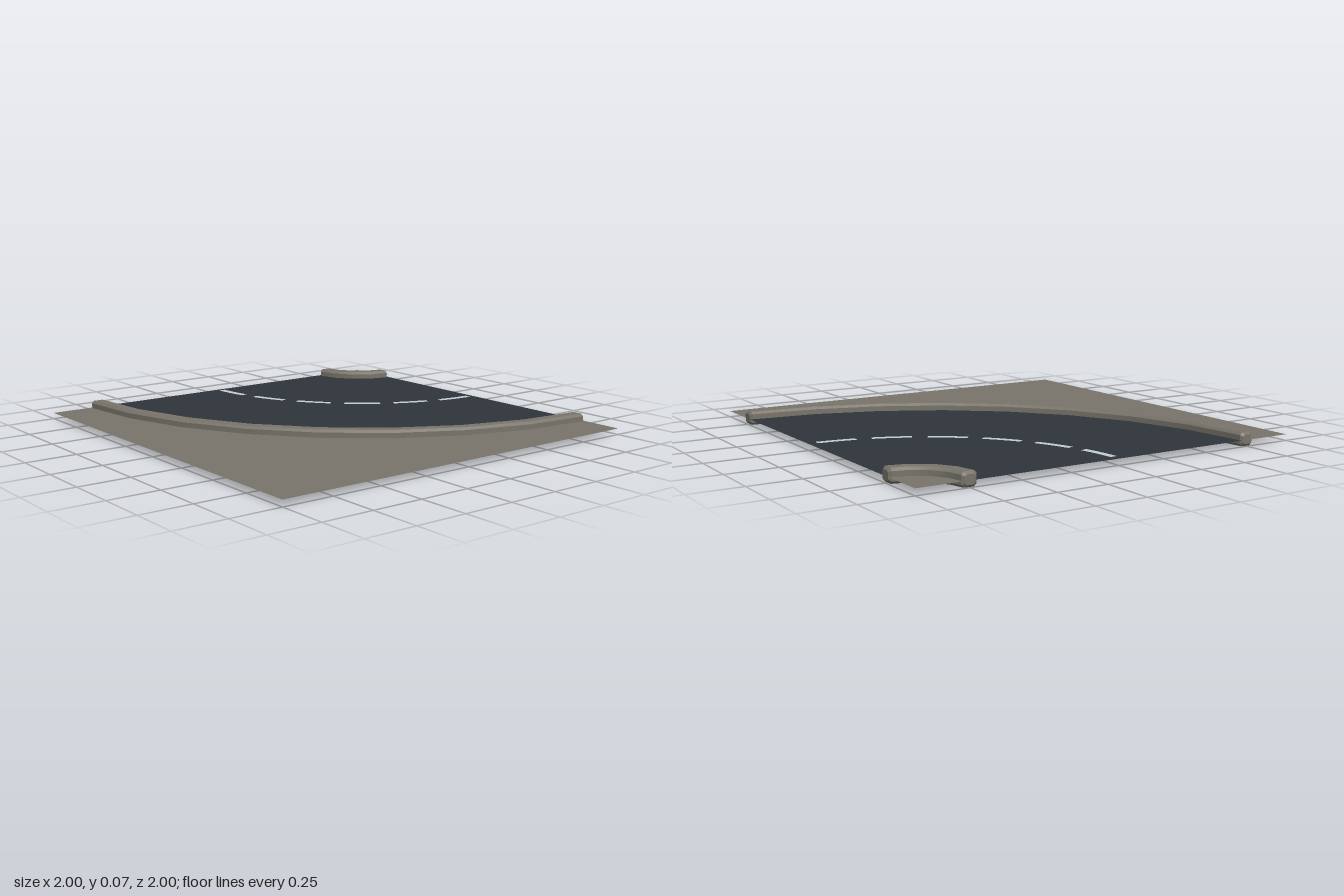
import * as THREE from 'three';
import { toCreasedNormals } from 'three/addons/utils/BufferGeometryUtils.js';

const QUARTER = Math.PI / 2;
const LEVEL = 0.03;   // height of the ground sheet
const HEIGHT = 0.067; // height of the kerbs
const BEVEL = 0.012;

// Bevelled kerb swept a quarter turn from +x to +z, with chamfered ends
function kerbGeometry(inner, outer, segments) {
  const w = outer - inner, b = BEVEL, mid = (inner + outer) / 2;
  const profile = [
    [inner + b, 0], [outer - b, 0], [outer, b], [outer, HEIGHT - b],
    [outer - b, HEIGHT], [inner + b, HEIGHT], [inner, HEIGHT - b], [inner, b],
  ];
  const n = profile.length;
  const ring = (angle, scale, dx, dz) => profile.map(([r, y]) => {
    const rr = mid + (r - mid) * scale;
    return [rr * Math.cos(angle) + dx, HEIGHT / 2 + (y - HEIGHT / 2) * scale, rr * Math.sin(angle) + dz];
  });
  const inset = 1 - 2 * b / w;
  const rings = [ring(0, inset, 0, 0), ring(0, 1, 0, b)];
  for (let i = 1; i < segments; i++) rings.push(ring(i / segments * QUARTER, 1, 0, 0));
  rings.push(ring(QUARTER, 1, b, 0), ring(QUARTER, inset, 0, 0));

  const points = rings.flat(), index = [];
  for (let i = 0; i < rings.length - 1; i++) {
    for (let j = 0; j < n; j++) {
      const a = i * n + j, c = i * n + (j + 1) % n;
      index.push(a, a + n, c, c, a + n, c + n);
    }
  }
  // End caps
  const last = (rings.length - 1) * n;
  for (let j = 1; j < n - 1; j++) {
    index.push(0, j, j + 1, last, last + j + 1, last + j);
  }
  const geometry = new THREE.BufferGeometry();
  geometry.setAttribute('position', new THREE.Float32BufferAttribute(points.flat(), 3));
  geometry.setIndex(index);
  return toCreasedNormals(geometry, 0.5);
}

// Flat ring sector, angles measured from +x towards +z
function sector(inner, outer, from, to, segments) {
  return new THREE.RingGeometry(inner, outer, segments, 1, -to, to - from).rotateX(-QUARTER);
}

export function createModel() {
  const stone = new THREE.MeshStandardMaterial({ color: 0x78746a, side: THREE.DoubleSide });
  stone.name = 'stone';
  const asphalt = new THREE.MeshStandardMaterial({ color: 0x2e353b, side: THREE.DoubleSide });
  asphalt.name = 'asphalt';
  const paint = new THREE.MeshStandardMaterial({ color: 0xc0cdd3 });
  paint.name = 'lane paint';

  const model = new THREE.Group();
  model.name = 'roadCorner';
  // All arcs turn about the back right corner of the tile
  const add = (name, geometry, material, y = 0) => {
    const mesh = new THREE.Mesh(geometry, material);
    mesh.name = name;
    mesh.position.set(-1, y, -1);
    model.add(mesh);
  };

  // Road surface
  add('road', sector(0.255, 1.75, 0, QUARTER, 8), asphalt, LEVEL);

  // Pavement outside and inside the bend
  const shape = new THREE.Shape();
  shape.moveTo(2, 0);
  shape.lineTo(1.75, 0);
  for (let i = 1; i <= 8; i++) {
    const a = i / 8 * QUARTER;
    shape.lineTo(1.75 * Math.cos(a), -1.75 * Math.sin(a));
  }
  shape.lineTo(0, -2);
  shape.lineTo(2, -2);
  add('outerPavement', new THREE.ShapeGeometry(shape).rotateX(-QUARTER), stone, LEVEL);
  add('innerPavement', new THREE.CircleGeometry(0.255, 4, -QUARTER, QUARTER).rotateX(-QUARTER), stone, LEVEL);

  // Kerbs
  add('outerKerb', kerbGeometry(1.715, 1.788, 8), stone);
  add('innerKerb', kerbGeometry(0.215, 0.288, 4), stone);

  // Dashed centre line
  for (let i = 0; i < 6; i++) {
    const from = THREE.MathUtils.degToRad(15 * i + 2.2);
    const to = THREE.MathUtils.degToRad(15 * i + 13);
    add('laneDash' + (i + 1), sector(0.982, 1.018, from, to, 2), paint, LEVEL + 0.003);
  }
  return model;
}
